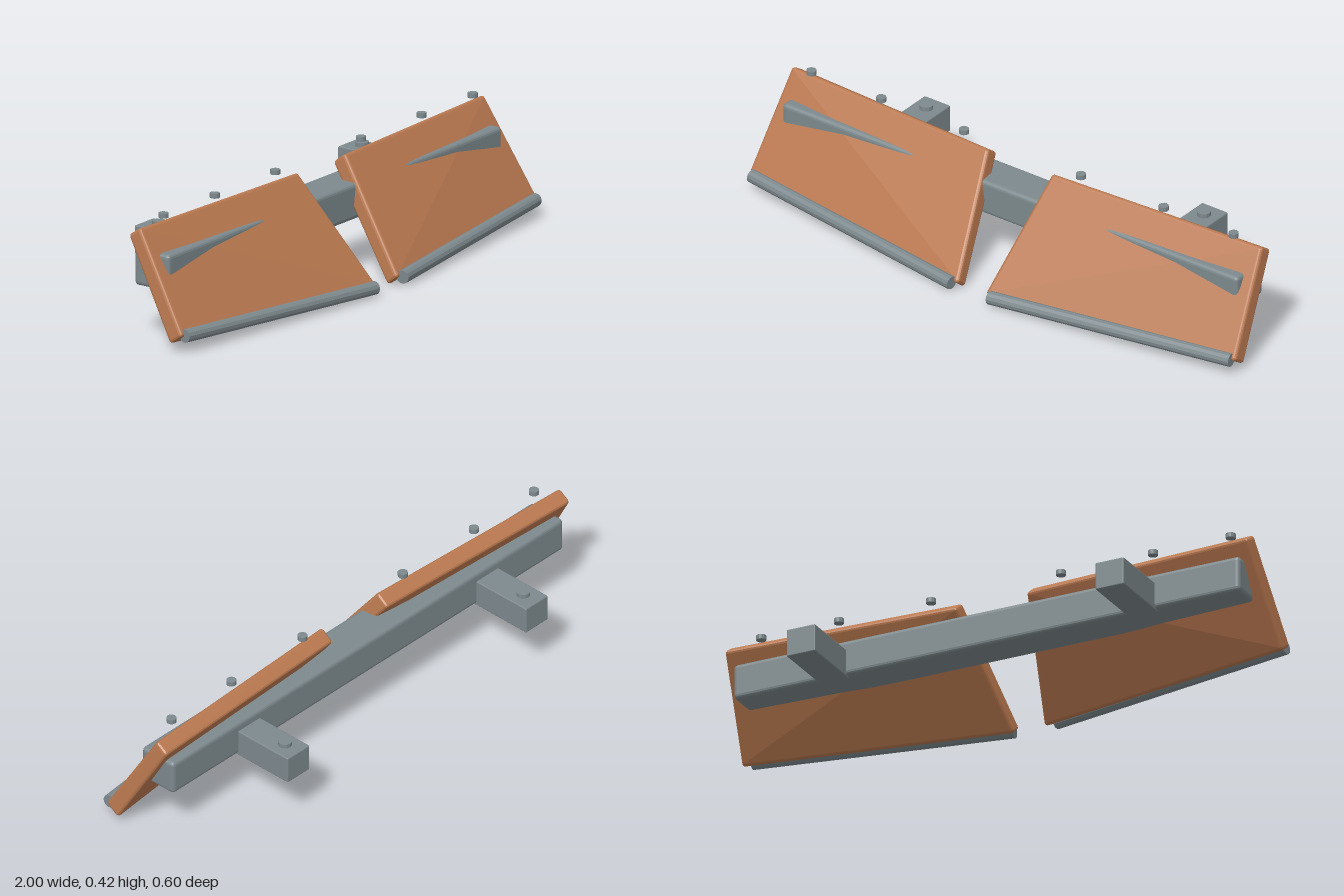
import * as THREE from 'three';
import { RoundedBoxGeometry } from 'three/addons/geometries/RoundedBoxGeometry.js';
import { ConvexGeometry } from 'three/addons/geometries/ConvexGeometry.js';

const V = (x, y, z) => new THREE.Vector3(x, y, z);
const steel = new THREE.MeshStandardMaterial({ color: 0x7d898d, flatShading: true });
const wood = new THREE.MeshStandardMaterial({ color: 0xb9784f, flatShading: true });

function add(parent, name, geometry, material, x = 0, y = 0, z = 0) {
  const mesh = new THREE.Mesh(geometry, material);
  mesh.name = name;
  mesh.position.set(x, y, z);
  parent.add(mesh);
  return mesh;
}

// Skewed slab with rounded edges: hull of small spheres set inside its eight corners.
// Corner index bits: 1 = outer end, 2 = top, 4 = back.
function roundedSlab(corners, r) {
  const points = [];
  const ball = new THREE.IcosahedronGeometry(r, 1).attributes.position;
  corners.forEach((c, i) => {
    const centre = c.clone();
    for (const bit of [1, 2, 4]) {
      centre.addScaledVector(corners[i ^ bit].clone().sub(c).normalize(), r);
    }
    for (let k = 0; k < ball.count; k++) {
      points.push(new THREE.Vector3().fromBufferAttribute(ball, k).add(centre));
    }
  });
  return new ConvexGeometry(points);
}

export function createModel() {
  const model = new THREE.Group();
  model.name = 'splitPanelBumper';

  // Long cross beam
  add(model, 'crossBeam', new RoundedBoxGeometry(1.87, 0.124, 0.143, 2, 0.014), steel, 0, 0.245, -0.007);

  for (const s of [1, -1]) {
    const side = new THREE.Group();
    side.name = s > 0 ? 'leftSide' : 'rightSide';
    model.add(side);

    // Sloping panel, swept back towards its outer end
    const corners = [
      V(0.055, 0.034, 0.275), V(1.0, 0.062, 0.163),
      V(0.13, 0.394, 0.006), V(0.966, 0.394, -0.032),
      V(0.055, 0.0, 0.234), V(1.0, 0.027, 0.112),
      V(0.13, 0.358, -0.042), V(0.966, 0.362, -0.08),
    ].map((p) => p.setX(p.x * s));
    add(side, 'panel', roundedSlab(corners, 0.011), wood);

    // Round rail along the panel's lower front edge
    const a = V(0.077 * s, 0.031, 0.279);
    const b = V(0.985 * s, 0.061, 0.163);
    const axis = b.clone().sub(a);
    const rail = add(side, 'lowerRail', new THREE.CylinderGeometry(0.023, 0.023, axis.length(), 12), steel);
    rail.position.copy(a).add(b).multiplyScalar(0.5);
    rail.quaternion.setFromUnitVectors(V(0, 1, 0), axis.normalize());

    // Pins above the panel's top edge
    for (const x of [0.24, 0.58, 0.867]) {
      add(side, 'topPin', new THREE.CylinderGeometry(0.017, 0.017, 0.016, 12), steel, x * s, 0.419, -0.007);
    }

    // Rear mounting arm and its bolt
    add(side, 'mountingArm', new RoundedBoxGeometry(0.105, 0.097, 0.25, 2, 0.004), steel, 0.57 * s, 0.2265, -0.177);
    add(side, 'armBolt', new THREE.CylinderGeometry(0.023, 0.023, 0.022, 12), steel, 0.57 * s, 0.279, -0.24);
  }
  return model;
}
